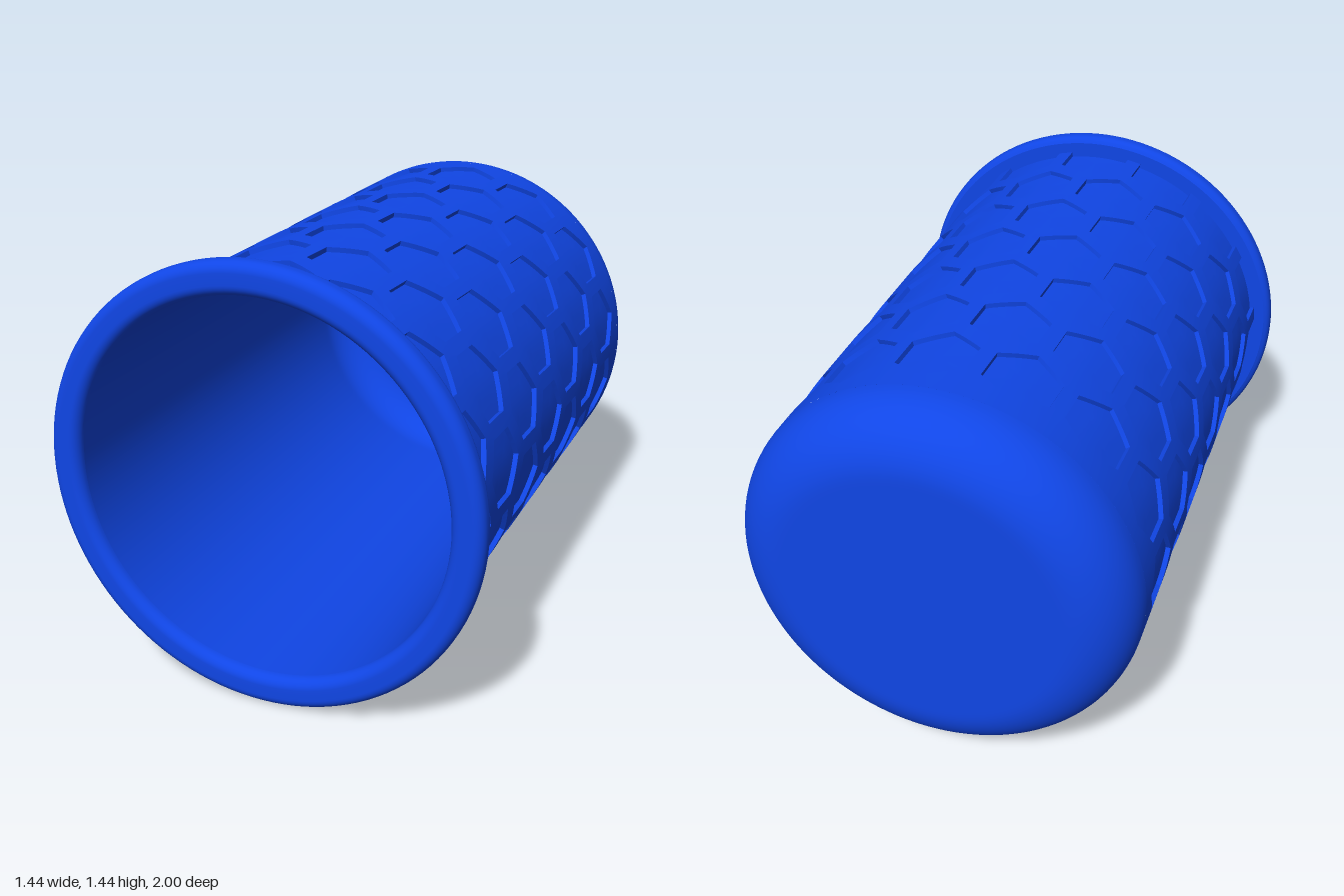
import * as THREE from 'three';
import { mergeVertices } from 'three/addons/utils/BufferGeometryUtils.js';

const AXIS_Y = 0.72, RADIUS = 0.66, DEPTH = 0.016;
const COLUMNS = 15, ROWS = 7, ROW_PITCH = 0.246, FIRST_ROW = -0.612;
const BODY_BACK = -0.8, BODY_FRONT = 0.93;
const STEP = (Math.PI * 2) / COLUMNS;
const DRIFT = 0.06; // slight twist of the honeycomb, radians per unit of length
const EDGE_SEGMENTS = 5;

// Closed loop around a hexagon with its points along the cup's length, as [u, z] pairs
function hexLoop(halfWidth, pointZ) {
  const corners = [[0, 1], [1, 0.5], [1, -0.5], [0, -1], [-1, -0.5], [-1, 0.5]];
  const loop = [];
  corners.forEach(([u, z], i) => {
    const [u2, z2] = corners[(i + 1) % 6];
    for (let k = 0; k < EDGE_SEGMENTS; k++) {
      const t = k / EDGE_SEGMENTS;
      loop.push([(u + (u2 - u) * t) * halfWidth, (z + (z2 - z) * t) * pointZ]);
    }
  });
  return loop;
}

// Join two loops of 3D points, inner to outer, skipping collapsed triangles
function addBand(out, inner, outer) {
  const tri = (a, b, c) => {
    const area = b.clone().sub(a).cross(c.clone().sub(a)).length();
    if (area > 1e-8) [a, b, c].forEach((p) => out.push(p.x, p.y, p.z));
  };
  for (let i = 0; i < inner.length; i++) {
    const j = (i + 1) % inner.length;
    tri(inner[i], outer[i], outer[j]);
    tri(inner[i], outer[j], inner[j]);
  }
}

function toGeometry(positions, smooth) {
  let geometry = new THREE.BufferGeometry();
  geometry.setAttribute('position', new THREE.Float32BufferAttribute(positions, 3));
  if (smooth) geometry = mergeVertices(geometry, 1e-4);
  geometry.computeVertexNormals();
  return geometry;
}

// Outer wall: one honeycomb cell per hexagon, each with frame, side walls and sunken floor
function buildHoneycomb() {
  const frame = [], sides = [], floors = [];
  const pocket = hexLoop(0.112, 0.127);
  const cell = hexLoop((STEP * RADIUS) / 2, (ROW_PITCH * 2) / 3);

  for (let row = 0; row < ROWS; row++) {
    const zc = FIRST_ROW + row * ROW_PITCH;
    for (let col = 0; col < COLUMNS; col++) {
      const ac = (col + (row % 2) / 2) * STEP + 0.06;
      const wrap = (loop, radius, scale, edge) => loop.map(([u, dz]) => {
        let z = Math.min(zc + dz * scale, BODY_FRONT);
        if (edge && row === 0 && dz < -0.08) z = BODY_BACK;
        if (edge && row === ROWS - 1 && dz > 0.08) z = BODY_FRONT;
        const a = ac + (u * scale) / RADIUS - DRIFT * z;
        return new THREE.Vector3(radius * Math.sin(a), AXIS_Y + radius * Math.cos(a), z);
      });
      const low = RADIUS - DEPTH;
      const lip = wrap(pocket, RADIUS, 1);
      const floorEdge = wrap(pocket, low, 1);
      const floorMid = wrap(pocket, low, 0.5);
      addBand(frame, lip, wrap(cell, RADIUS, 1, true));
      addBand(sides, floorEdge, lip);
      addBand(floors, floorMid, floorEdge);
      addBand(floors, wrap(pocket, low, 0), floorMid);
    }
  }
  return {
    honeycombFrame: toGeometry(frame, true),
    pocketSides: toGeometry(sides, false),
    pocketFloors: toGeometry(floors, true),
  };
}

// Quarter-round points from angle a0 to a1 about (cx, cy)
function arc(cx, cy, r, a0, a1, n = 10) {
  return Array.from({ length: n + 1 }, (_, i) => {
    const a = a0 + ((a1 - a0) * i) / n;
    return new THREE.Vector2(cx + r * Math.cos(a), cy + r * Math.sin(a));
  });
}

// Revolve a profile of (radius, z) about the cup's long axis
function revolve(points) {
  const geometry = new THREE.LatheGeometry(points, 120);
  geometry.rotateX(Math.PI / 2);
  geometry.translate(0, AXIS_Y, 0);
  return geometry;
}

export function createModel() {
  const group = new THREE.Group();
  const material = new THREE.MeshStandardMaterial({ color: 0x1046e6 });
  const add = (name, geometry) => {
    const mesh = new THREE.Mesh(geometry, material);
    mesh.name = name;
    group.add(mesh);
  };
  const v = (x, y) => new THREE.Vector2(x, y);
  const H = Math.PI / 2;

  // Closed end with its large rounded edge
  add('base', revolve([v(0, -1), v(0.44, -1), ...arc(0.46, -0.8, 0.2, -H, 0, 16)]));

  // Honeycomb wall
  for (const [name, geometry] of Object.entries(buildHoneycomb())) add(name, geometry);

  // Rolled rim at the open end
  add('rimBack', revolve([v(0.635, 0.922), v(0.698, 0.922)]));
  add('rim', revolve([
    v(0.698, 0.922),
    ...arc(0.69, 0.952, 0.03, -1.2, 0, 5),
    ...arc(0.685, 0.965, 0.035, 0, H, 8),
    v(0.665, 1),
    ...arc(0.65, 0.965, 0.035, H, Math.PI, 8),
  ]));

  // Inside wall and floor
  add('interior', revolve([
    v(0.615, 0.965), v(0.615, 0.2), v(0.615, -0.78),
    ...arc(0.465, -0.8, 0.15, 0, -H, 14),
    v(0.44, -0.95), v(0, -0.95),
  ]));

  return group;
}
